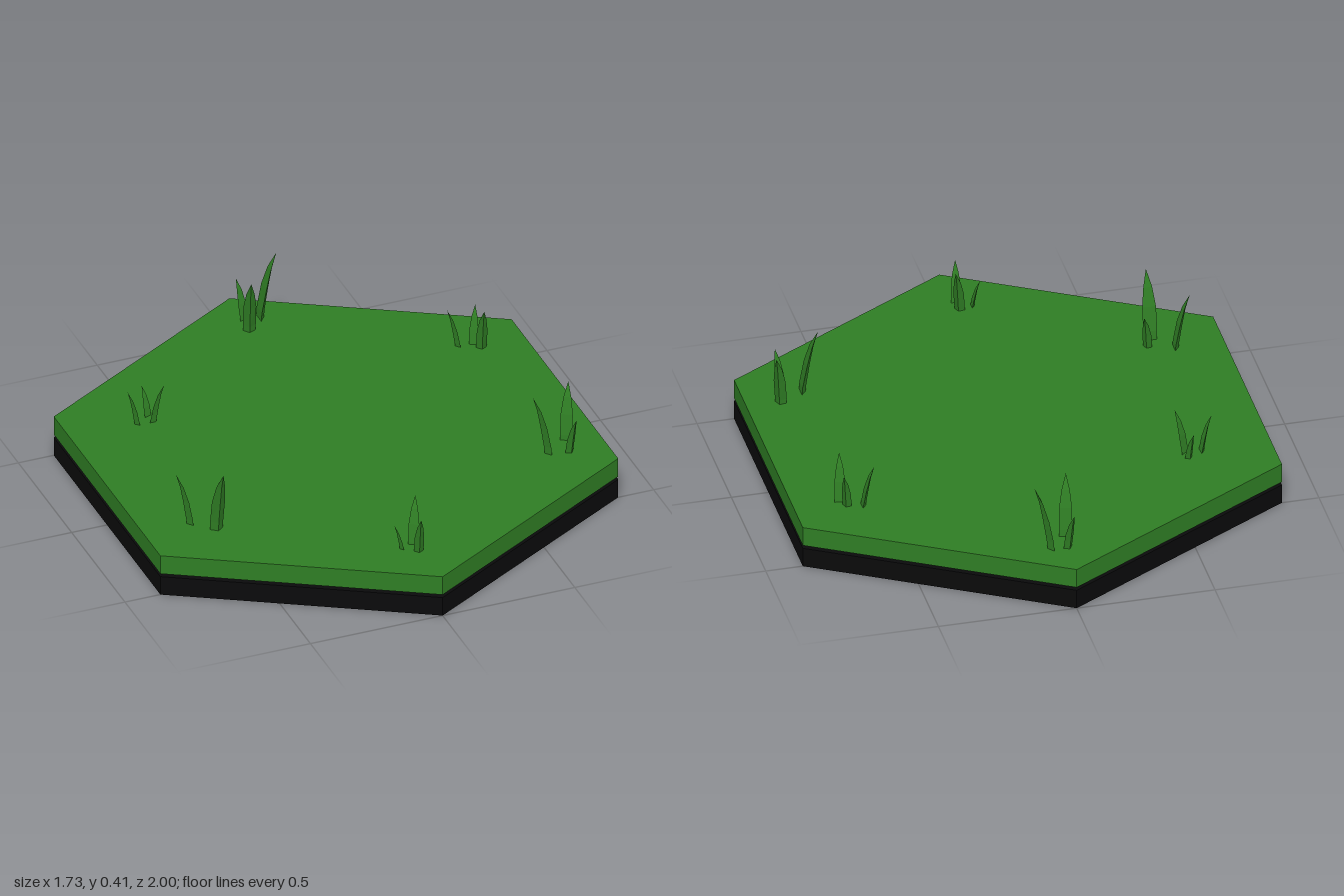
import * as THREE from 'three';

const green = new THREE.MeshStandardMaterial({ color: 0x2f7d24, flatShading: true });
green.name = 'grassGreen';
const black = new THREE.MeshStandardMaterial({ color: 0x0a0a0b, flatShading: true });
black.name = 'baseBlack';

// Six-sided slab with points towards front and back
function slab(name, y0, y1, material) {
  const mesh = new THREE.Mesh(new THREE.CylinderGeometry(1, 1, y1 - y0, 6), material);
  mesh.position.y = (y0 + y1) / 2;
  mesh.name = name;
  return mesh;
}

// Blade of unit scale leaning towards +x: [height, lean, half width, depth]
const SECTIONS = [
  [0, 0, 0.021, 0.018],
  [0.12, 0.009, 0.025, 0.02],
  [0.21, 0.026, 0.025, 0.017],
  [0.28, 0.046, 0.016, 0.01],
];
const HEIGHT = 0.34, LEAN = 0.073, ROOT = 0.075;

function bladeGeometry() {
  const points = [], index = [];
  for (const [y, x, w, d] of SECTIONS) points.push(x, y, -w, x, y, w, x + d, y, 0);
  for (let r = 0; r < SECTIONS.length - 1; r++) {
    for (let i = 0; i < 3; i++) {
      const a = r * 3 + i, b = r * 3 + (i + 1) % 3;
      index.push(a, b, b + 3, a, b + 3, a + 3);
    }
  }
  // Tip and closed root
  const last = (SECTIONS.length - 1) * 3, tip = last + 3;
  points.push(LEAN, HEIGHT, 0);
  for (let i = 0; i < 3; i++) index.push(last + i, last + (i + 1) % 3, tip);
  index.push(0, 2, 1);
  const geometry = new THREE.BufferGeometry();
  geometry.setAttribute('position', new THREE.Float32BufferAttribute(points, 3));
  geometry.setIndex(index);
  geometry.computeVertexNormals();
  return geometry;
}

// Blades of each tuft: [tip x, tip z, tip height, lean direction in degrees]
const TUFTS = {
  backTuft: [[0.113, -0.84, 0.415, 0], [-0.03, -0.72, 0.385, 105], [-0.02, -0.89, 0.31, 250]],
  backLeftTuft: [[0.585, -0.41, 0.315, 180], [0.7, -0.43, 0.3, 300], [0.69, -0.32, 0.335, 100]],
  backRightTuft: [[-0.57, -0.41, 0.27, 250], [-0.65, -0.345, 0.3, 175], [-0.525, -0.31, 0.32, 50]],
  frontLeftTuft: [[0.595, 0.37, 0.4, 180], [0.77, 0.27, 0.37, 300], [0.735, 0.435, 0.31, 75]],
  frontRightTuft: [[-0.74, 0.335, 0.37, 180], [-0.615, 0.47, 0.415, 90], [-0.575, 0.33, 0.3, 300]],
  frontTuft: [[-0.09, 0.77, 0.26, 180], [0.01, 0.72, 0.335, 300], [-0.02, 0.85, 0.31, 100]],
};

export function createModel() {
  const model = new THREE.Group();
  model.name = 'grassTile';
  model.add(slab('baseSlab', 0, 0.074, black), slab('grassSlab', 0.086, 0.16, green));

  const geometry = bladeGeometry();
  for (const [name, blades] of Object.entries(TUFTS)) {
    const tuft = new THREE.Group();
    tuft.name = name;
    for (const [x, z, top, degrees] of blades) {
      const angle = THREE.MathUtils.degToRad(degrees);
      const scale = (top - ROOT) / HEIGHT;
      const blade = new THREE.Mesh(geometry, green);
      blade.name = 'grassBlade';
      blade.scale.setScalar(scale);
      blade.rotation.y = -angle;
      blade.position.set(x - Math.cos(angle) * LEAN * scale, ROOT, z - Math.sin(angle) * LEAN * scale);
      tuft.add(blade);
    }
    model.add(tuft);
  }
  return model;
}
